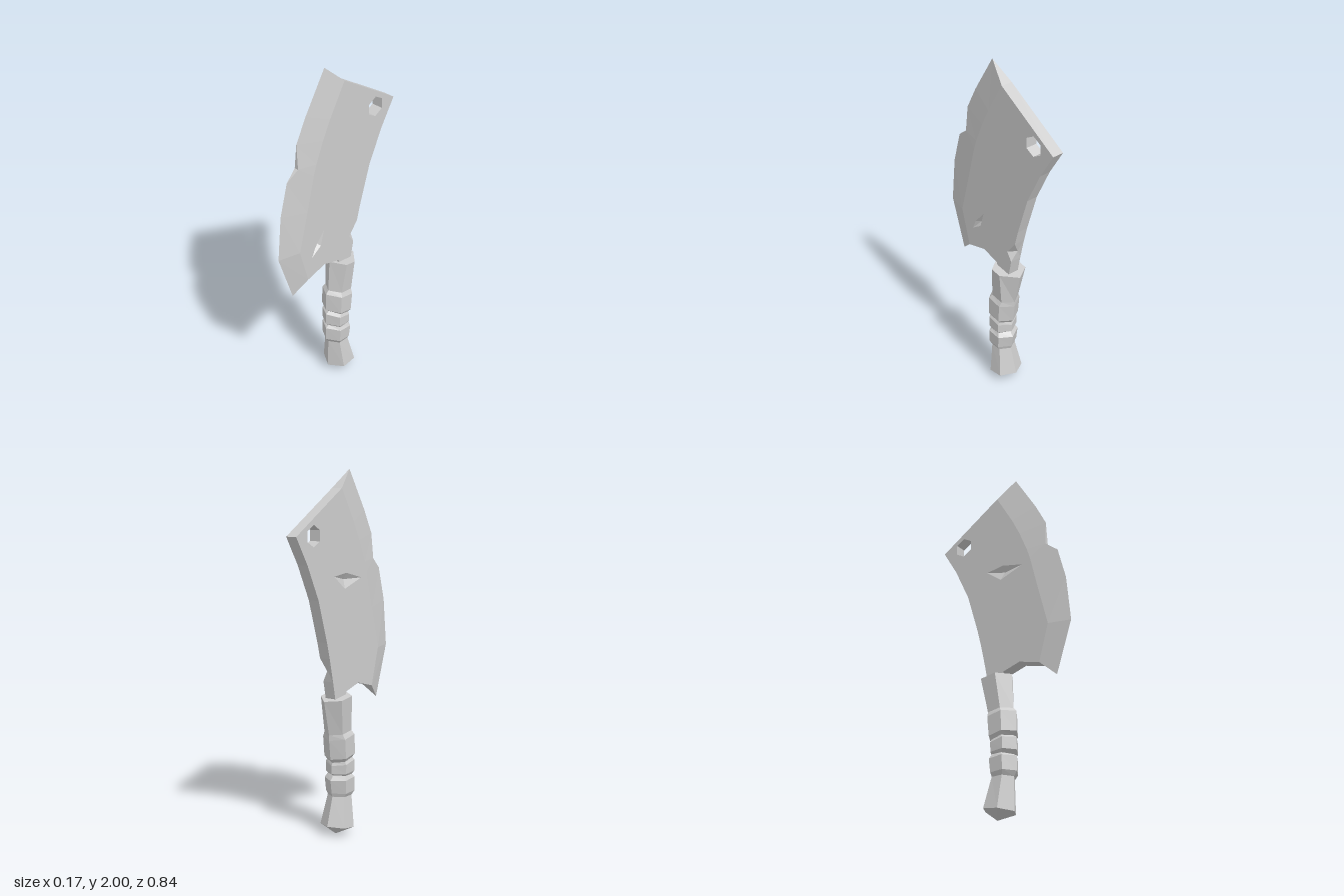
import * as THREE from 'three';

const T = 0.033; // half thickness of the blade

function meshFrom(name, tris, material) {
  const g = new THREE.BufferGeometry();
  g.setAttribute('position', new THREE.Float32BufferAttribute(tris.flat(2), 3));
  g.computeVertexNormals(); // unshared corners keep every facet flat
  const m = new THREE.Mesh(g, material);
  m.name = name;
  return m;
}

// Profile points are [z, y, half thickness]
const at = (p, s) => [s * (p[2] ?? T), p[1], p[0]];

// Fill a profile polygon on side s (+1 or -1), facing outward
function plate(out, s, points, holes = []) {
  const v2 = (l) => l.map((p) => new THREE.Vector2(-p[0], p[1]));
  const all = [points, ...holes].flat();
  for (const f of THREE.ShapeUtils.triangulateShape(v2(points), holes.map(v2))) {
    const [a, b, c] = f.map((i) => all[i]);
    const area = -(b[0] - a[0]) * (c[1] - a[1]) + (c[0] - a[0]) * (b[1] - a[1]);
    const tri = [at(a, s), at(b, s), at(c, s)];
    out.push(area * s > 0 ? tri : tri.reverse());
  }
}

// Wall joining the two sides along one profile segment
function wall(out, p, q) {
  if (p[2] !== 0) out.push([at(p, 1), at(p, -1), at(q, -1)]);
  if (q[2] !== 0) out.push([at(p, 1), at(q, -1), at(q, 1)]);
}

function bladeTriangles() {
  const out = [];
  // Cutting edge from tip to heel, with a notch, and the line where the bevel starts
  const edge = [[0.07, 2, 0], [0.205, 1.78, 0], [0.272, 1.65, 0], [0.275, 1.51, 0.012],
    [0.345, 1.455, 0], [0.395, 1.27, 0], [0.42, 1.01, 0], [0.325, 0.72, 0]];
  const bevel = [[-0.04, 1.9], [0.065, 1.72], [0.115, 1.62], [0.165, 1.5],
    [0.185, 1.44], [0.235, 1.24], [0.295, 1.01], [0.237, 0.8]];
  const bottom = [[0.11, 0.835], [0, 0.803], [-0.01, 0.75], [-0.09, 0.74], [-0.1, 0.78]];
  const chipLow = [-0.118, 0.87], chipHigh = [-0.147, 1];
  const spine = [[-0.17, 1.09], [-0.24, 1.32], [-0.33, 1.51], [-0.42, 1.66]];
  const chipIn = [-0.085, 0.92];

  // Hexagonal hanging hole
  const hole = [];
  for (let i = 0; i < 6; i++) {
    const a = (i / 6) * Math.PI * 2;
    hole.push([-0.278 + 0.058 * Math.sin(a), 1.658 + 0.058 * Math.cos(a)]);
  }
  hole.reverse();

  // One gouge on each face: rim and deepest point
  const gouges = {
    '1': { rim: [[0.111, 1.07], [0.18, 0.985], [0.205, 0.93], [0.138, 0.975]], deep: [0.153, 0.99, 0.012] },
    '-1': { rim: [[-0.107, 1.437], [0, 1.45], [0.134, 1.416], [-0.014, 1.365]], deep: [0, 1.415, 0.012] },
  };

  for (const s of [1, -1]) {
    const { rim, deep } = gouges[s];
    const chip = s > 0 ? [chipLow, chipIn, chipHigh] : [chipLow, chipHigh];
    plate(out, s, [...bevel, ...bottom, ...chip, ...spine], [hole, rim]);
    rim.forEach((p, i) => plate(out, s, [p, rim[(i + 1) % rim.length], deep]));
    for (let i = 0; i < edge.length - 1; i++) {
      plate(out, s, [edge[i], edge[i + 1], bevel[i + 1], bevel[i]]);
    }
  }

  // Outer walls, leaving the chipped segment for its own faces
  const outline = [bevel[0], ...edge, bevel[7], ...bottom, chipLow, chipHigh, ...spine];
  outline.forEach((p, i) => {
    if (p !== chipLow) wall(out, p, outline[(i + 1) % outline.length]);
  });
  hole.forEach((p, i) => {
    const q = hole[(i + 1) % 6];
    const ccw = hole[0][0] * hole[1][1] - hole[1][0] * hole[0][1];
    // the rim runs against the outline so its walls face the opening
    const cross = (p[0] + 0.278) * (q[1] - 1.658) - (q[0] + 0.278) * (p[1] - 1.658);
    if (cross > 0) wall(out, p, q); else wall(out, q, p);
  });

  // Chip in the spine above the handle
  const q = [-0.005, 0.93, -0.127], m = at(chipIn, 1);
  const [l1, l2, h1, h2] = [at(chipLow, 1), at(chipLow, -1), at(chipHigh, 1), at(chipHigh, -1)];
  out.push([q, l1, l2], [q, l2, h2], [q, h2, h1], [m, l1, q], [m, q, h1]);
  return out;
}

function handleTriangles() {
  const out = [];
  // Rings from top to bottom: [y, front z, back z, half width, tilt]
  const rings = [
    [0.78, 0.038, -0.155, 0.083, 0.014], [0.585, 0.048, -0.112, 0.063, 0.012],
    [0.56, 0.066, -0.112, 0.076, 0.018], [0.45, 0.068, -0.1, 0.075, 0.016],
    [0.43, 0.045, -0.083, 0.062, 0.016], [0.415, 0.067, -0.09, 0.071, 0.018],
    [0.357, 0.068, -0.09, 0.07, 0.006], [0.342, 0.046, -0.076, 0.061, 0],
    [0.322, 0.068, -0.1, 0.073, 0.008], [0.245, 0.068, -0.09, 0.07, 0.004],
    [0.222, 0.05, -0.083, 0.058, 0], [0.05, 0.052, -0.13, 0.083, -0.012],
  ].map(([y, f, b, w, t], i) => {
    // six corners; the top ring is worn at one back corner
    const worn = i === 0 ? 0.6 : 0.75;
    return [[0, 0], [w, 0.27], [w, worn], [0, 1], [-w, 0.75], [-w, 0.27]]
      .map(([x, k]) => [x, y + t * (1 - 2 * k), f + (b - f) * k]);
  });
  const top = [0, 0.78, -0.06], tip = [0, 0.005, -0.055];
  for (let j = 0; j < 6; j++) {
    const k = (j + 1) % 6;
    out.push([top, rings[0][j], rings[0][k]]);
    for (let i = 0; i < rings.length - 1; i++) {
      const a = rings[i], b = rings[i + 1];
      out.push([a[j], b[j], b[k]], [a[j], b[k], a[k]]);
    }
    const last = rings[rings.length - 1];
    out.push([last[j], tip, last[k]]);
  }
  return out;
}

export function createModel() {
  const grey = new THREE.MeshStandardMaterial({ color: 0xcccccc, flatShading: true });
  grey.name = 'light grey';
  const group = new THREE.Group();
  group.name = 'cleaver';
  group.add(meshFrom('blade', bladeTriangles(), grey), meshFrom('handle', handleTriangles(), grey));
  return group;
}
